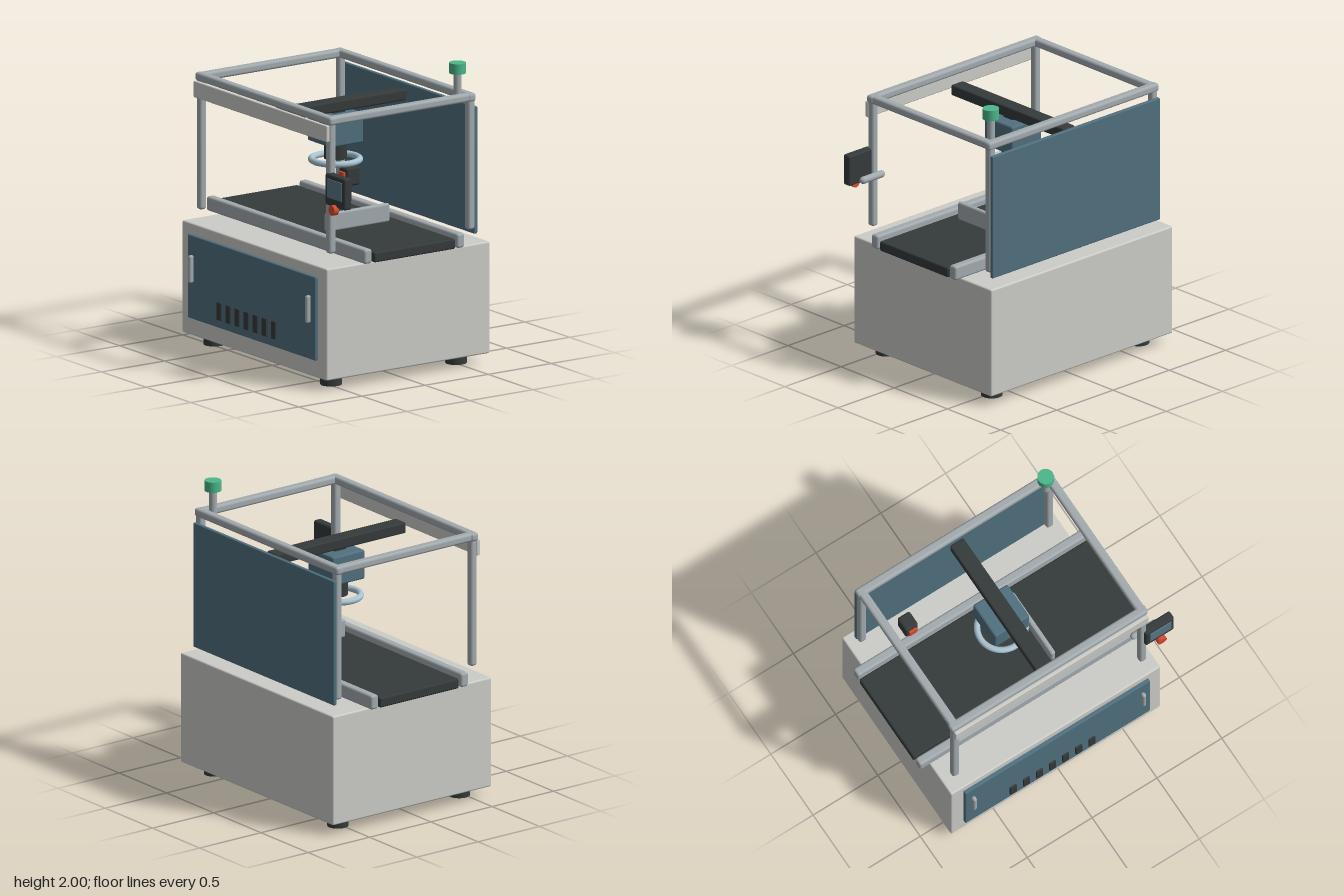
import * as THREE from 'three';
import { RoundedBoxGeometry } from 'three/addons/geometries/RoundedBoxGeometry.js';

const material = (name, color) => {
  const m = new THREE.MeshStandardMaterial({ color });
  m.name = name;
  return m;
};

export function createModel() {
  const model = new THREE.Group();
  model.name = 'inspectionMachine';

  const white = material('warm white', 0xcccdc9);
  const blue = material('slate blue', 0x50707e);
  const grey = material('aluminium grey', 0xa3abaf);
  const dark = material('charcoal', 0x353a3a);
  const red = material('signal red', 0xd64b30);
  const green = material('beacon green', 0x4bb78a);
  const glass = material('screen blue', 0x587886);
  const light = material('ring light blue', 0xaac4d2);

  const add = (name, geometry, mat, x, y, z) => {
    const mesh = new THREE.Mesh(geometry, mat);
    mesh.name = name;
    mesh.position.set(x, y, z);
    model.add(mesh);
    return mesh;
  };
  // Rounded block given by its limits on each axis
  const block = (name, mat, [x0, x1], [y0, y1], [z0, z1], r = 0.008) =>
    add(name, new RoundedBoxGeometry(x1 - x0, y1 - y0, z1 - z0, 3, r), mat,
      (x0 + x1) / 2, (y0 + y1) / 2, (z0 + z1) / 2);
  const cylinder = (name, mat, r, y0, y1, x, z) =>
    add(name, new THREE.CylinderGeometry(r, r, y1 - y0, 32), mat, x, (y0 + y1) / 2, z);
  const around = (c, w) => [c - w / 2, c + w / 2];

  // Cabinet on four feet
  block('cabinet', white, [-0.84, 0.775], [0.07, 0.815], [-0.675, 0.62], 0.012);
  for (const x of [-0.685, 0.62])
    for (const z of [-0.515, 0.475]) cylinder('foot', dark, 0.07, 0, 0.08, x, z);

  // Front door with handles and vent slots
  block('door', blue, [-0.745, 0.68], [0.19, 0.745], [0.61, 0.645]);
  for (const x of [-0.687, 0.62])
    block('doorHandle', grey, around(x, 0.028), [0.432, 0.617], [0.64, 0.677], 0.013);
  for (let i = 0; i < 7; i++)
    block('ventSlot', dark, around(-0.38 + i * 0.101, 0.048), [0.245, 0.363], [0.64, 0.657], 0.003);

  // Conveyor belt, side rails and the plate lying on it
  block('conveyorBelt', dark, [-0.918, 0.853], [0.827, 0.895], [-0.348, 0.295], 0.012);
  for (const z of [-0.391, 0.343])
    block('conveyorRail', grey, [-0.918, 0.853], [0.827, 0.923], around(z, 0.06), 0.016);
  block('uprightPlate', grey, [0.19, 0.225], [0.89, 1.015], [-0.275, 0.227], 0.015);

  // Open frame: posts, cross beams and side beams
  const postX = [-0.753, 0.69], postZ = [-0.574, 0.527];
  for (const x of postX)
    for (const z of postZ)
      block('framePost', grey, around(x, 0.053), [0.893, 1.79], around(z, 0.053), 0.018);
  for (const z of postZ)
    block('crossBeam', grey, [-0.79, 0.725], [1.747, 1.803], around(z, 0.06), 0.018);
  for (const x of postX)
    block('sideBeam', grey, around(x, 0.06), [1.747, 1.803], [-0.604, 0.557], 0.018);

  // Header strip and rear panel
  block('headerPanel', white, [-0.775, 0.713], [1.64, 1.75], [0.55, 0.577]);
  block('rearPanel', blue, [-0.778, 0.712], [0.862, 1.71], [-0.622, -0.594]);

  // Camera hanging from the central beam
  const cx = -0.033, cz = -0.024;
  block('cameraBeam', dark, around(cx, 0.106), [1.618, 1.692], [-0.553, 0.505], 0.012);
  block('cameraMount', dark, around(cx, 0.09), [1.6, 1.63], around(cz, 0.09), 0.004);
  block('cameraHousing', blue, around(cx, 0.266), [1.41, 1.61], around(cz, 0.264), 0.014);
  cylinder('cameraLens', dark, 0.075, 1.3, 1.42, cx, cz);
  const ring = add('ringLight', new THREE.TorusGeometry(0.157, 0.021, 16, 64), light, cx, 1.294, cz);
  ring.rotation.x = Math.PI / 2;

  // Sensor with a red face
  block('sensorBody', dark, [-0.525, -0.428], [0.97, 1.095], [-0.506, -0.395], 0.018);
  block('sensorFace', red, [-0.505, -0.447], [1.004, 1.065], [-0.4, -0.38], 0.004);

  // Control screen on its arm, with stop button
  const arm = add('screenArm', new THREE.CapsuleGeometry(0.024, 0.162, 6, 20), grey, 0.74, 1.255, 0.482);
  arm.rotation.z = Math.PI / 2;
  block('screenHousing', dark, [0.692, 0.912], [1.225, 1.435], [0.515, 0.576], 0.014);
  block('screenGlass', glass, [0.722, 0.887], [1.28, 1.405], [0.573, 0.582], 0.003);
  const button = add('stopButton', new THREE.CylinderGeometry(0.034, 0.034, 0.035, 32), red, 0.803, 1.21, 0.584);
  button.rotation.x = Math.PI / 2;

  // Beacon
  cylinder('beaconPole', grey, 0.026, 1.77, 1.94, 0.632, -0.519);
  cylinder('beaconLamp', green, 0.054, 1.93, 2.0, 0.632, -0.519);

  return model;
}
